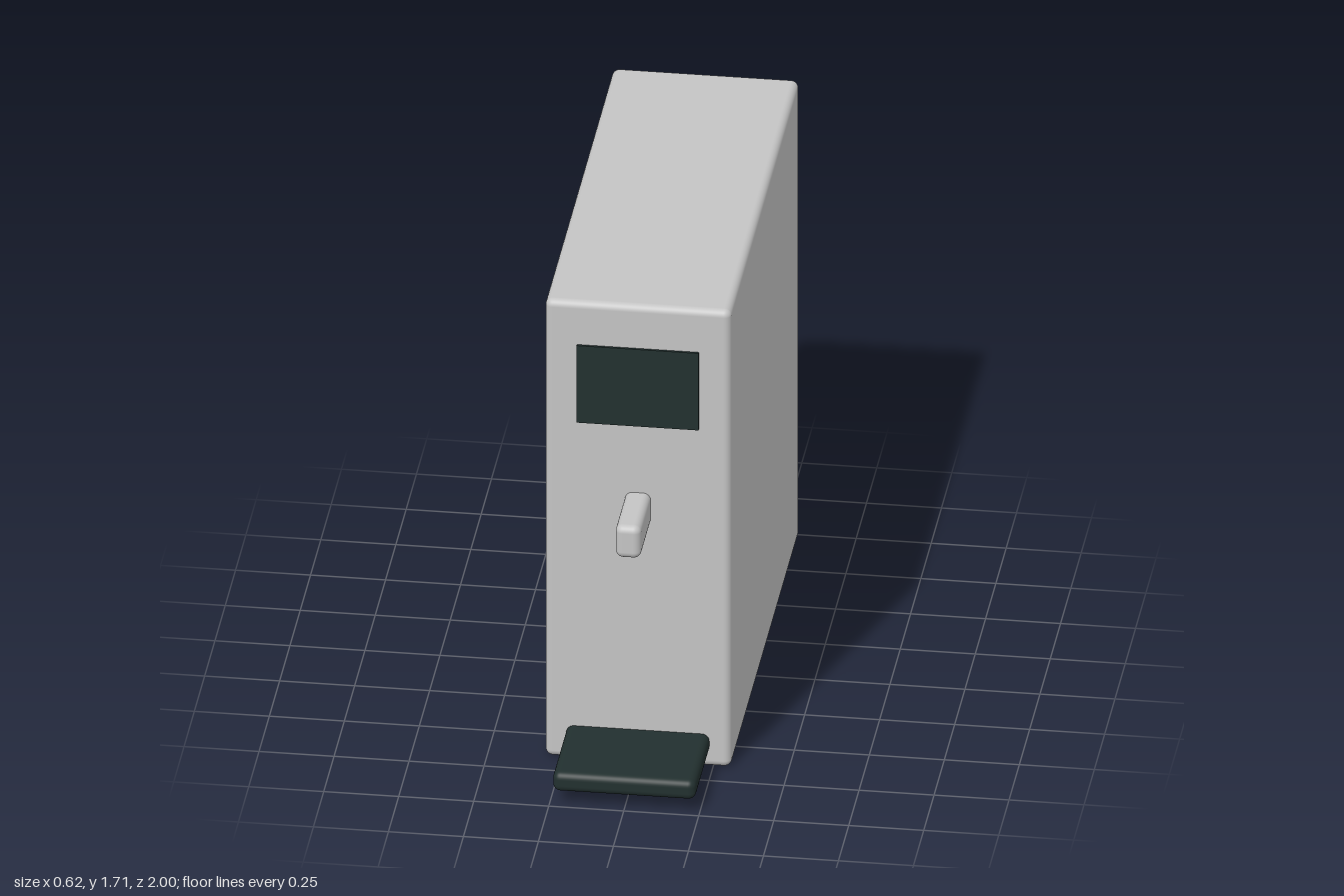
import * as THREE from 'three';
import { RoundedBoxGeometry } from 'three/addons/geometries/RoundedBoxGeometry.js';

export function createModel() {
  const model = new THREE.Group();
  model.name = 'countertopDispenser';

  const casingGrey = new THREE.MeshStandardMaterial({ color: 0xc4c4c4 });
  casingGrey.name = 'casingGrey';
  const darkPlastic = new THREE.MeshStandardMaterial({ color: 0x22302f });
  darkPlastic.name = 'darkPlastic';

  // Box spanning the given limits, centred on x, with rounded edges
  function roundedPart(name, material, width, [y0, y1], [z0, z1], radius) {
    const geometry = new RoundedBoxGeometry(width, y1 - y0, z1 - z0, 4, radius);
    const mesh = new THREE.Mesh(geometry, material);
    mesh.name = name;
    mesh.position.set(0, (y0 + y1) / 2, (z0 + z1) / 2);
    model.add(mesh);
  }

  // Tall casing
  roundedPart('casing', casingGrey, 0.62, [0, 1.708], [-1, 0.657], 0.025);

  // Spout and drip tray, with their rear ends sunk into the casing
  roundedPart('spout', casingGrey, 0.085, [0.89, 1.01], [0.58, 0.905], 0.025);
  roundedPart('dripTray', darkPlastic, 0.476, [0.052, 0.123], [0.58, 1], 0.025);

  // Thin display plate on the upper front
  const display = new THREE.Mesh(new THREE.BoxGeometry(0.406, 0.288, 0.009), darkPlastic);
  display.name = 'displayPanel';
  display.position.set(0, 1.406, 0.661);
  model.add(display);

  return model;
}
